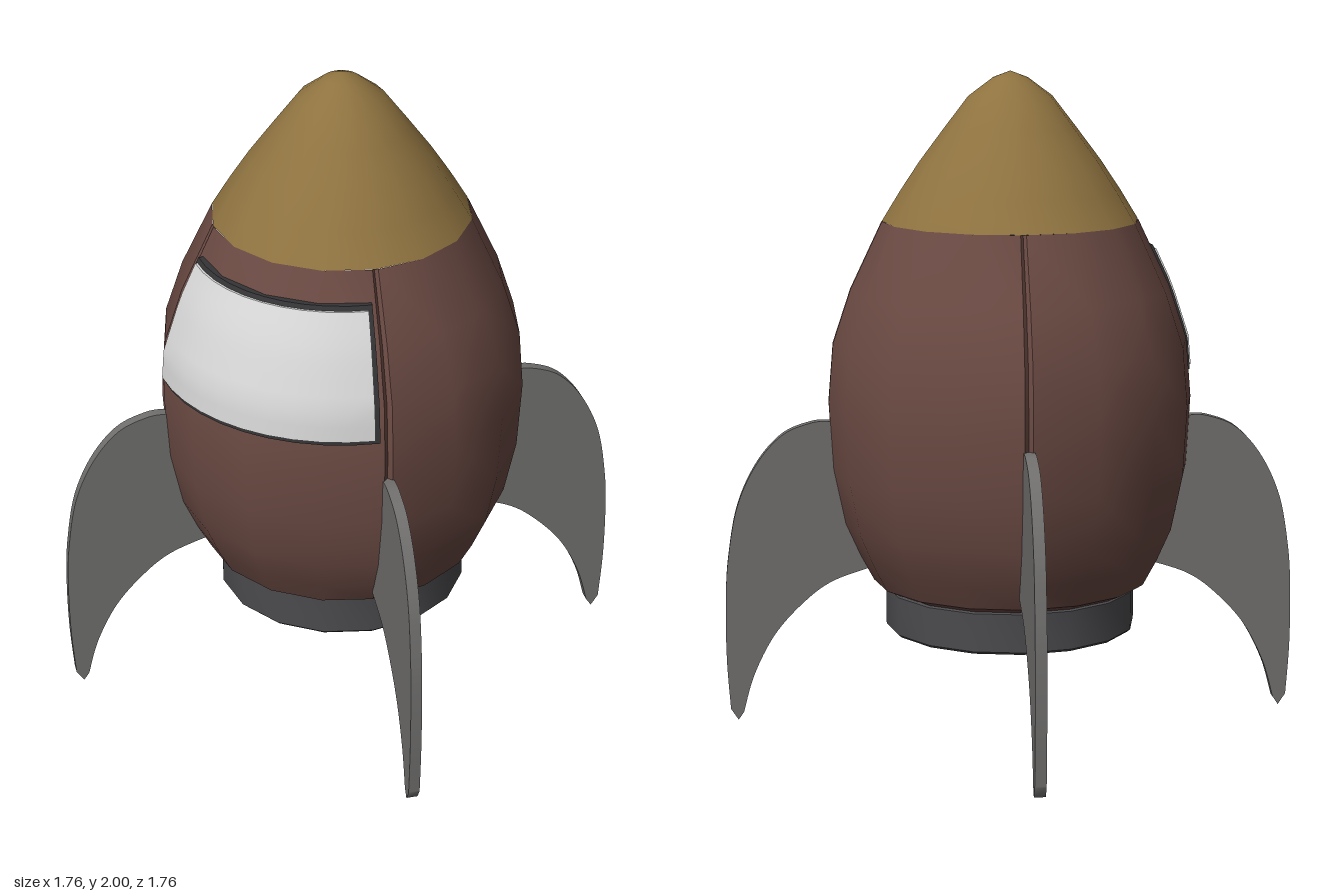
import * as THREE from 'three';
import { toCreasedNormals } from 'three/addons/utils/BufferGeometryUtils.js';

const mat = (name, color) => Object.assign(new THREE.MeshStandardMaterial({ color }), { name });
const hullRed = mat('hull brown', 0x6b4a43);
const gold = mat('nose gold', 0x8f7340);
const finGrey = mat('fin grey', 0x706f6e);
const nozzleGrey = mat('nozzle grey', 0x4b4b4e);
const darkGrey = mat('dark grey', 0x343436);
const glass = mat('window white', 0xd8d8d8);

// Hull outline as [radius, height], from base to nose joint
const HULL = [[0.38, 0.42], [0.423, 0.44], [0.466, 0.52], [0.51, 0.62], [0.545, 0.79], [0.557, 1.0],
  [0.542, 1.18], [0.487, 1.345], [0.39, 1.55]];
const NOSE = [[0.39, 1.55], [0.335, 1.64], [0.275, 1.73], [0.2, 1.83], [0.127, 1.925], [0.053, 1.98], [0, 2]];

const vecs = (pts) => pts.map(([x, y]) => new THREE.Vector2(x, y));
const lathe = (pts, segments = 16) => new THREE.LatheGeometry(vecs(pts), segments);

function hullRadius(y) {
  for (let i = 1; i < HULL.length; i++) {
    const [r0, y0] = HULL[i - 1], [r1, y1] = HULL[i];
    if (y <= y1) return r0 + (r1 - r0) * (y - y0) / (y1 - y0);
  }
  return HULL[HULL.length - 1][0];
}

// Four hull panels divided by narrow V grooves
function hullGeometry() {
  const steps = [0, 0.022, Math.PI / 8, Math.PI / 4, Math.PI * 3 / 8, Math.PI / 2 - 0.022];
  const pts = [[0, 0.42], ...HULL];
  const geo = lathe(pts, 24);
  const pos = geo.attributes.position;
  for (let k = 0; k < pos.count; k++) {
    const i = Math.floor(k / pts.length);
    const [r, y] = pts[k % pts.length];
    const a = Math.floor(i / 6) * Math.PI / 2 + steps[i % 6];
    const radius = i % 6 === 0 ? Math.max(0, r - 0.014) : r;
    pos.setXYZ(k, Math.sin(a) * radius, y, Math.cos(a) * radius);
  }
  return toCreasedNormals(geo, 0.6);
}

// A slab wrapped onto the hull between two angles and two heights
function wrappedSlab(a0, a1, y0, y1, inner, outer) {
  const geo = new THREE.BoxGeometry(1, 1, 1, 10, 8, 1);
  const pos = geo.attributes.position;
  for (let k = 0; k < pos.count; k++) {
    const a = a0 + (a1 - a0) * (pos.getX(k) + 0.5);
    const y = y0 + (y1 - y0) * (pos.getY(k) + 0.5);
    const r = hullRadius(y) + (pos.getZ(k) > 0 ? outer : inner);
    pos.setXYZ(k, Math.sin(a) * r, y, Math.cos(a) * r);
  }
  return toCreasedNormals(geo, 0.7);
}

// Swept fin with a curved outer edge and a pointed foot
function finGeometry() {
  const s = new THREE.Shape();
  s.moveTo(0.42, 0.485);
  s.splineThru(vecs([[0.55, 0.44], [0.64, 0.375], [0.73, 0.275], [0.795, 0.15], [0.83, 0.03]]));
  s.lineTo(0.847, 0.005);
  s.lineTo(0.87, 0.04);
  s.splineThru(vecs([[0.88, 0.2], [0.88, 0.38], [0.87, 0.52], [0.84, 0.68], [0.78, 0.81],
    [0.7, 0.9], [0.61, 0.937], [0.55, 0.94]]));
  s.lineTo(0.5, 0.94);
  s.lineTo(0.47, 0.7);
  const geo = new THREE.ExtrudeGeometry(s, { depth: 0.034, bevelEnabled: false, curveSegments: 16 });
  geo.translate(0, 0, -0.017);
  return toCreasedNormals(geo, 0.6);
}

export function createModel() {
  const model = new THREE.Group();
  model.name = 'rocket';
  const add = (name, geo, material) => {
    const mesh = new THREE.Mesh(geo, material);
    mesh.name = name;
    model.add(mesh);
    return mesh;
  };

  add('hull', hullGeometry(), hullRed);
  add('noseCone', toCreasedNormals(lathe(NOSE), 0.7), gold);

  // Engine ring, hollow below with a dark plate inside
  add('nozzle', toCreasedNormals(lathe([[0.23, 0.37], [0.32, 0.29], [0.377, 0.29], [0.385, 0.298],
    [0.385, 0.415], [0.36, 0.43]]), 0.6), nozzleGrey);
  add('nozzlePlate', lathe([[0, 0.37], [0.23, 0.37]]), darkGrey);

  // Curved window on the front right panel
  add('windowFrame', wrappedSlab(-1.51, -0.05, 1.075, 1.465, -0.03, 0.012), darkGrey);
  add('windowPane', wrappedSlab(-1.485, -0.078, 1.088, 1.452, 0.005, 0.019), glass);

  // Four fins along the seams
  const fin = finGeometry();
  for (let i = 0; i < 4; i++) add('fin' + (i + 1), fin, finGrey).rotation.y = i * Math.PI / 2;

  return model;
}
